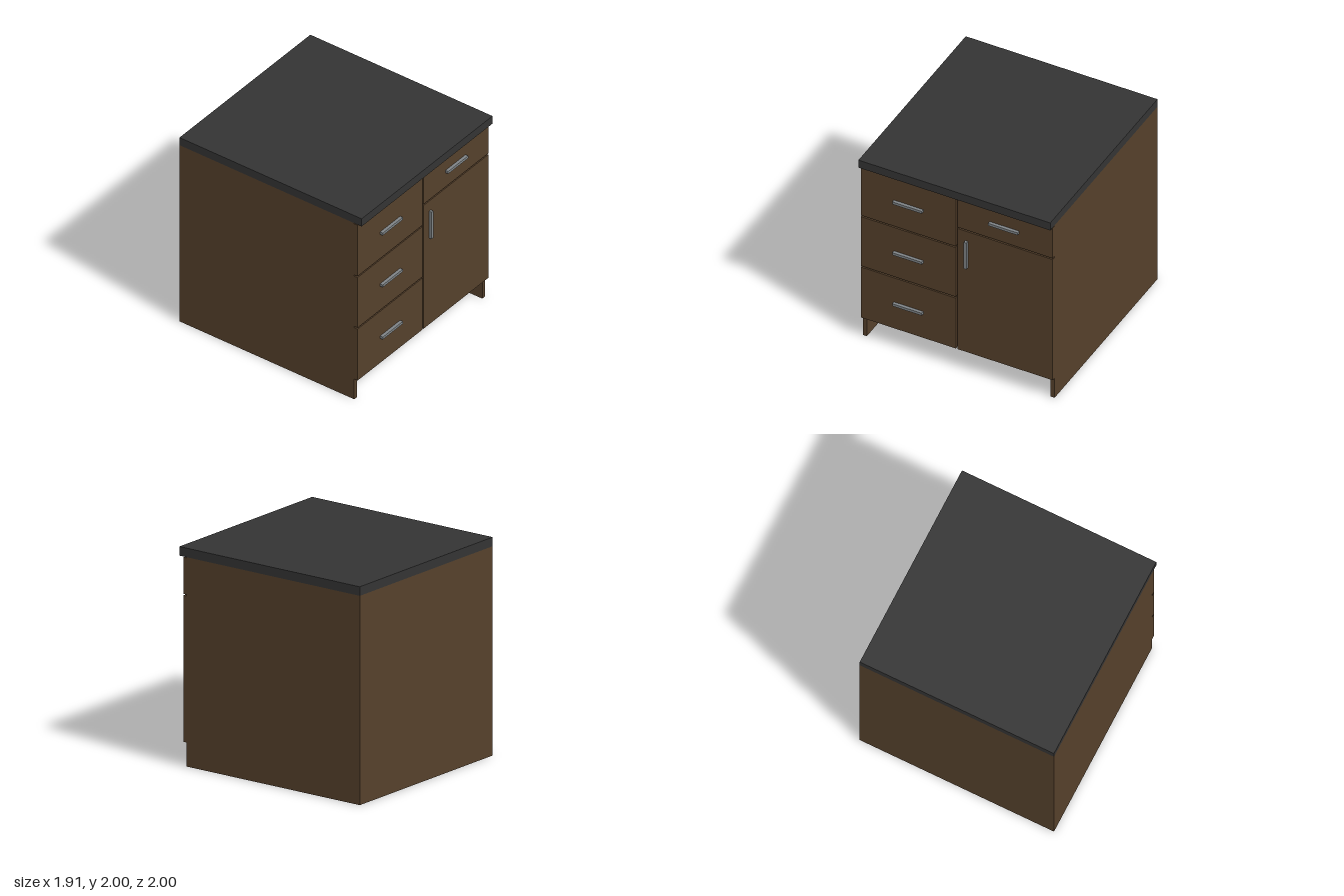
import * as THREE from 'three';

export function createModel() {
  const model = new THREE.Group();
  model.name = 'kitchenCabinet';

  const material = (name, color) => {
    const m = new THREE.MeshStandardMaterial({ color });
    m.name = name;
    return m;
  };
  const wood = material('brown wood', 0x55402b);
  const stone = material('dark worktop', 0x343434);
  const metal = material('grey metal', 0x7f8487);

  // Box given by its limits on each axis
  const panel = (name, mat, [x0, x1], [y0, y1], [z0, z1]) => {
    const mesh = new THREE.Mesh(new THREE.BoxGeometry(x1 - x0, y1 - y0, z1 - z0), mat);
    mesh.position.set((x0 + x1) / 2, (y0 + y1) / 2, (z0 + z1) / 2);
    mesh.name = name;
    model.add(mesh);
  };

  const W = 0.953, T = 0.04, TOP = 1.917, FACE = 0.918, FRONT = 0.955;

  // Carcass, open underneath
  panel('worktop', stone, [-W, W], [TOP, 2], [-1, 1]);
  panel('leftSide', wood, [W - T, W], [0, TOP], [-0.985, FACE]);
  panel('rightSide', wood, [-W, -W + T], [0, TOP], [-0.985, FACE]);
  panel('back', wood, [-W, W], [0, TOP], [-1, -0.985]);
  panel('divider', wood, [-0.02, 0.02], [0.22, TOP], [-0.985, FACE]);

  // Rails behind the gaps between fronts
  for (const y of [0.787, 1.348]) {
    panel('drawerRail', wood, [-W + T, -0.02], [y - 0.02, y + 0.02], [FACE - 0.08, FACE]);
  }
  panel('doorRail', wood, [0.02, W - T], [1.548, 1.588], [FACE - 0.08, FACE]);

  // Three drawers, with handles centred on each
  const handleZ = [FRONT, 0.985];
  for (const [y0, y1] of [[0.22, 0.78], [0.794, 1.341], [1.355, 1.91]]) {
    panel('drawerFront', wood, [-W, -0.01], [y0, y1], [FACE, FRONT]);
    const y = (y0 + y1) / 2;
    panel('drawerHandle', metal, [-0.625, -0.333], [y - 0.013, y + 0.013], handleZ);
  }

  // Small drawer above the door
  panel('smallDrawerFront', wood, [0.005, W], [1.575, 1.91], [FACE, FRONT]);
  panel('smallDrawerHandle', metal, [0.328, 0.62], [1.73, 1.756], handleZ);

  // Door with upright handle
  panel('door', wood, [0.005, W], [0.22, 1.561], [FACE, FRONT]);
  panel('doorHandle', metal, [0.085, 0.111], [1.163, 1.455], handleZ);

  return model;
}
